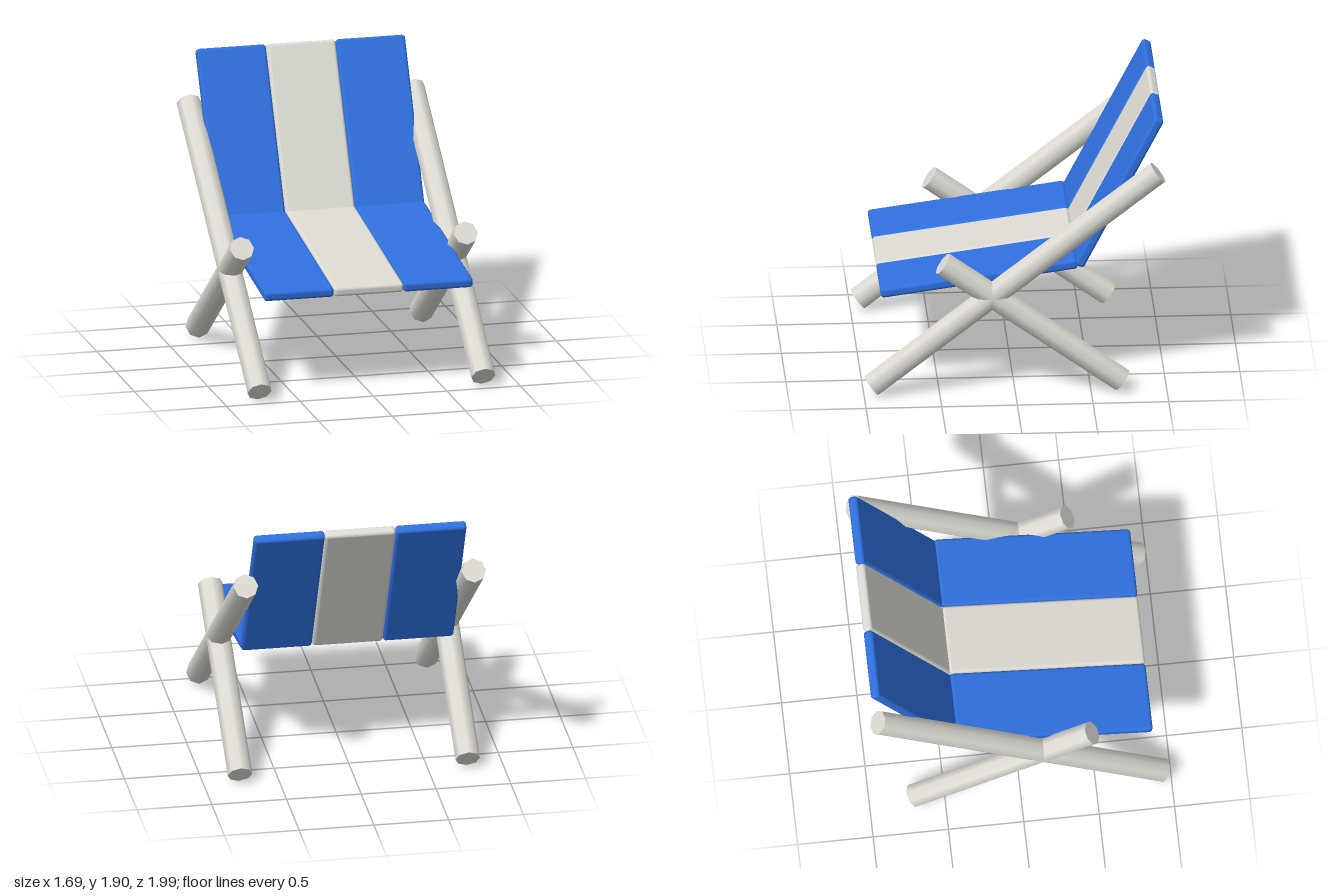
import * as THREE from 'three';
import { RoundedBoxGeometry } from 'three/addons/geometries/RoundedBoxGeometry.js';

export function createModel() {
  const model = new THREE.Group();
  model.name = 'deckChair';

  const blue = new THREE.MeshStandardMaterial({ color: 0x2f70df });
  blue.name = 'blue fabric';
  const cream = new THREE.MeshStandardMaterial({ color: 0xdddbd3 });
  cream.name = 'off-white';

  // Places a part that is long in y between two [z, y] points, in the plane x
  function span(name, makeGeometry, material, x, [z0, y0], [z1, y1], parent) {
    const mesh = new THREE.Mesh(makeGeometry(Math.hypot(z1 - z0, y1 - y0)), material);
    mesh.name = name;
    mesh.position.set(x, (y0 + y1) / 2, (z0 + z1) / 2);
    mesh.rotation.x = Math.atan2(z1 - z0, y1 - y0);
    parent.add(mesh);
  }

  // Crossed poles on each side
  const pole = (length) => new THREE.CylinderGeometry(0.082, 0.082, length, 8);
  for (const [side, sign] of [['left', 1], ['right', -1]]) {
    const frame = new THREE.Group();
    frame.name = side + 'Frame';
    span('longPole', pole, cream, sign * 0.762, [0.948, 0.072], [-0.943, 1.541], frame);
    span('shortPole', pole, cream, sign * 0.762, [-0.706, 0.07], [0.478, 0.925], frame);
    model.add(frame);
  }

  // Seat and back, each made of three soft-edged stripes
  const stripe = (length) => new RoundedBoxGeometry(0.472, length, 0.066, 3, 0.022);
  const seat = new THREE.Group();
  seat.name = 'seat';
  const back = new THREE.Group();
  back.name = 'backrest';
  [-1, 0, 1].forEach((i) => {
    const material = i === 0 ? cream : blue;
    span('seatStripe', stripe, material, i * 0.474, [0.886, 0.696], [-0.414, 0.876], seat);
    span('backStripe', stripe, material, i * 0.474, [-0.424, 0.858], [-0.96, 1.893], back);
  });
  model.add(seat, back);

  return model;
}
